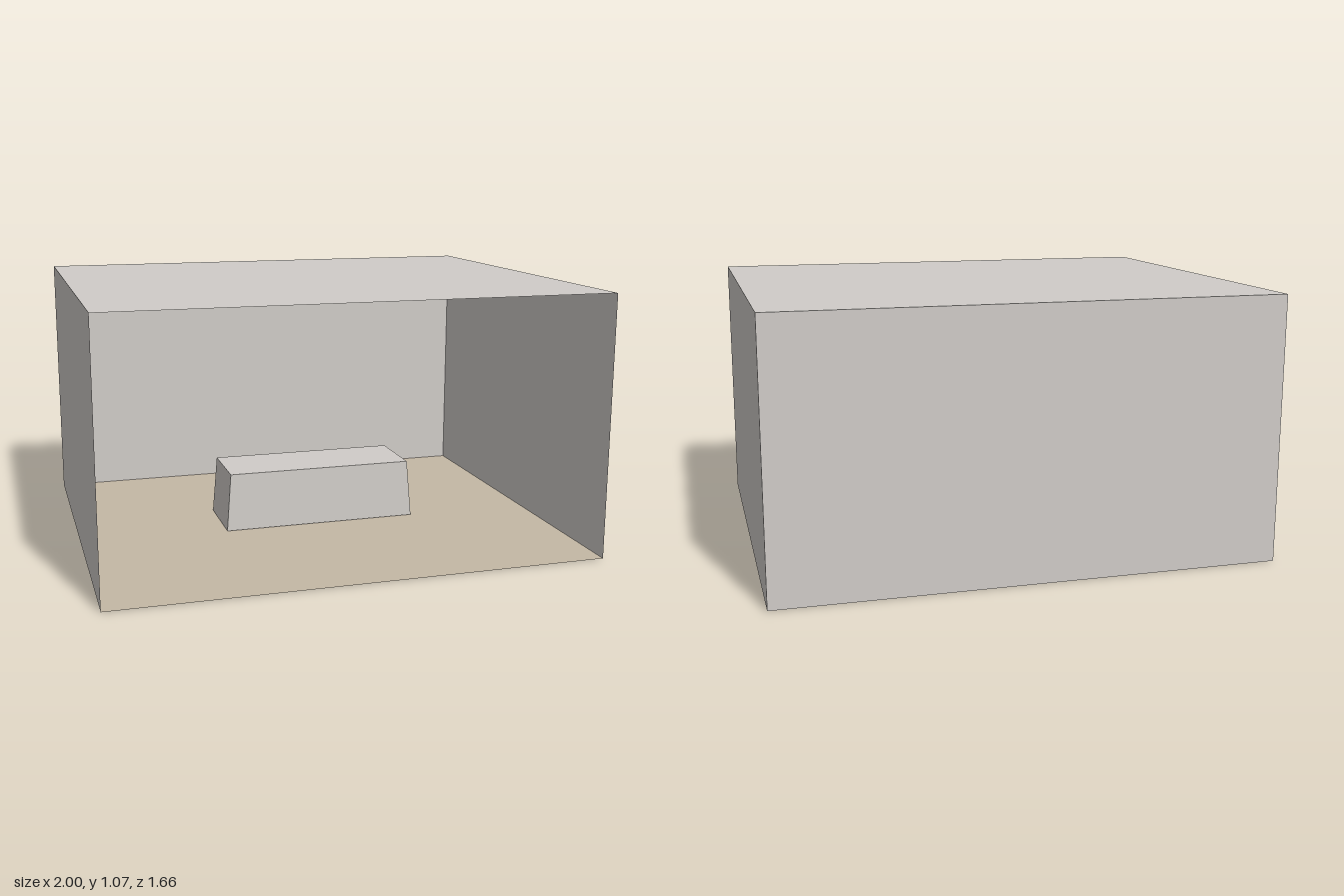
import * as THREE from 'three';

const W = 2, H = 1.07, D = 1.66;

export function createModel() {
  const group = new THREE.Group();
  const wallMat = new THREE.MeshStandardMaterial({ name: 'warm grey', color: 0xd0ccc8, side: THREE.DoubleSide });
  const floorMat = new THREE.MeshStandardMaterial({ name: 'tan floor', color: 0xc4b8a5, side: THREE.DoubleSide });

  // One thin sheet of the room shell
  function panel(name, w, h, mat, pos, rot = [0, 0, 0]) {
    const mesh = new THREE.Mesh(new THREE.PlaneGeometry(w, h), mat);
    mesh.name = name;
    mesh.position.set(...pos);
    mesh.rotation.set(...rot);
    group.add(mesh);
  }

  // Room shell, open at the front
  panel('floor', W, D, floorMat, [0, 0, 0], [-Math.PI / 2, 0, 0]);
  panel('ceiling', W, D, wallMat, [0, H, 0], [-Math.PI / 2, 0, 0]);
  panel('backWall', W, H, wallMat, [0, H / 2, -D / 2]);
  for (const side of [-1, 1]) {
    panel(side > 0 ? 'leftWall' : 'rightWall', D, H, wallMat,
      [side * W / 2, H / 2, 0], [0, side * Math.PI / 2, 0]);
  }

  // Low block on the floor, tapering slightly towards the top
  const height = 0.247;
  const geo = new THREE.BoxGeometry(0.84, height, 0.31);
  const p = geo.attributes.position;
  for (let i = 0; i < p.count; i++) {
    if (p.getY(i) > 0) {
      p.setX(i, p.getX(i) * 0.8 / 0.84);
      p.setZ(i, p.getZ(i) * 0.295 / 0.31);
    }
  }
  geo.computeVertexNormals();
  const block = new THREE.Mesh(geo, wallMat);
  block.name = 'lowBlock';
  block.position.set(0.04, 0.003 + height / 2, -0.067);
  group.add(block);

  return group;
}
